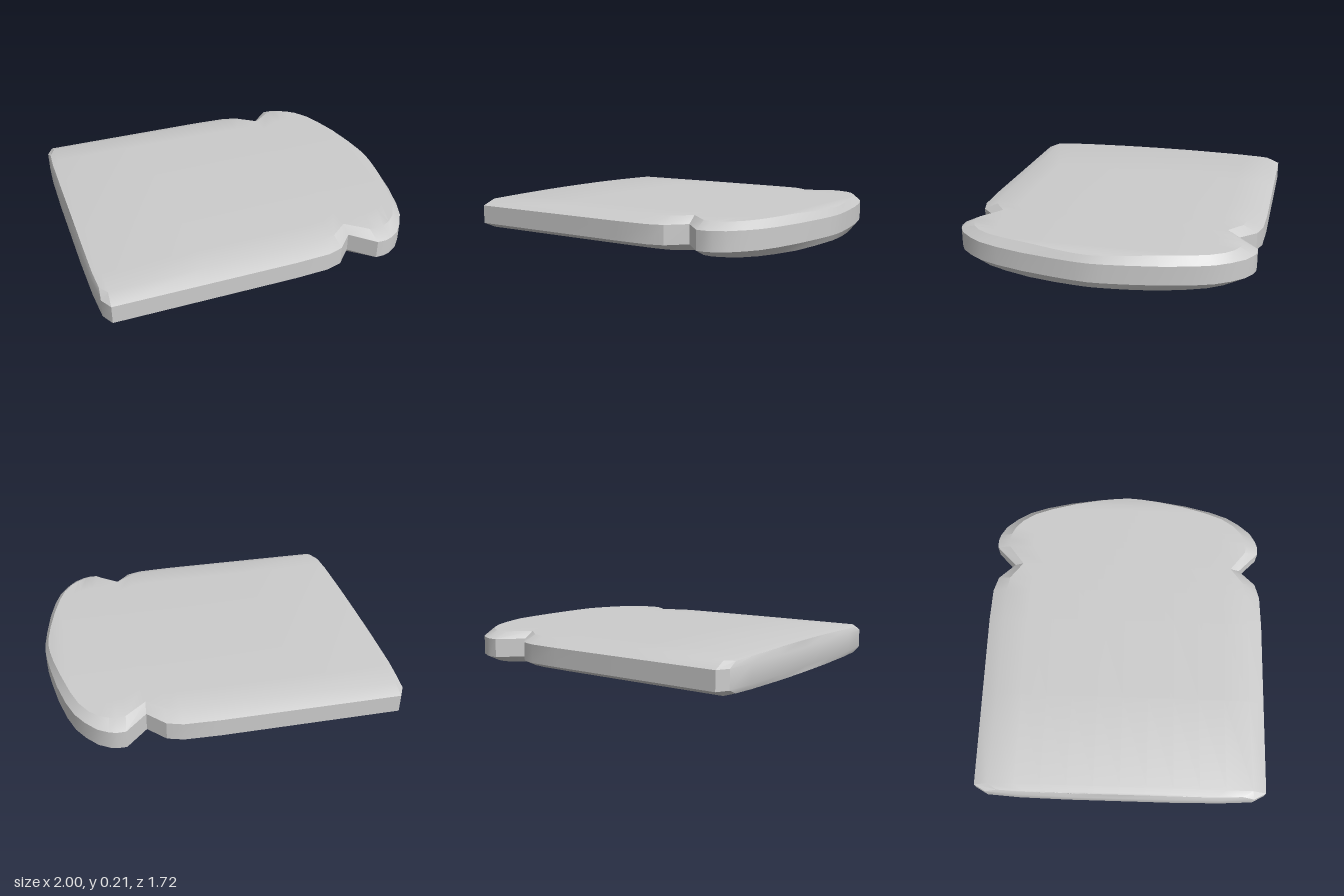
import * as THREE from 'three';
import { toCreasedNormals } from 'three/addons/utils/BufferGeometryUtils.js';

// Stations along the slice: outer x, outer half-width, face x, face half-width
const STATIONS = [
  [-1, 0, -0.985, 0], [-1, 0.3, -0.985, 0.3], [-0.995, 0.6, -0.983, 0.58],
  [-0.983, 0.79, -0.975, 0.72], [-0.945, 0.86, -0.94, 0.78], [-0.4, 0.86, -0.4, 0.768],
  [0.1, 0.86, 0.1, 0.766], [0.3, 0.852, 0.3, 0.76], [0.39, 0.825, 0.38, 0.745],
  [0.485, 0.725, 0.48, 0.668], [0.61, 0.848, 0.6, 0.763], [0.66, 0.848, 0.65, 0.77],
  [0.7, 0.836, 0.69, 0.76], [0.76, 0.8, 0.74, 0.735], [0.82, 0.73, 0.79, 0.69],
  [0.87, 0.65, 0.84, 0.61], [0.91, 0.54, 0.88, 0.5], [0.95, 0.38, 0.92, 0.35],
  [0.98, 0.2, 0.955, 0.19], [0.995, 0.08, 0.972, 0.08], [1, 0, 0.978, 0],
];
const MID = 0.104;
const STEPS = 10;

// Gently domed faces that drop a little at both ends
function faceHeight(x, z) {
  return 0.104 - 0.013 * (z / 0.78) ** 2 - 0.012 * THREE.MathUtils.smoothstep(Math.abs(x), 0.92, 0.985);
}

// Closed section across the slice: top face, side wall, bottom face, side wall
function section([xo, w, xi, wi]) {
  const ring = [];
  const face = (dir) => {
    for (let k = 0; k <= STEPS; k++) {
      const z = dir * wi * (2 * k / STEPS - 1);
      ring.push(new THREE.Vector3(xi, MID + dir * faceHeight(xi, z), z));
    }
  };
  for (const dir of [1, -1]) {
    face(dir);
    ring.push(new THREE.Vector3(xo, MID + dir * 0.054, dir * w));
    ring.push(new THREE.Vector3(xo, MID - dir * 0.054, dir * w));
  }
  return ring;
}

function loft(rings) {
  const positions = [];
  const tri = new THREE.Triangle();
  const add = (a, b, c) => {
    tri.set(a, b, c);
    if (tri.getArea() > 1e-7) for (const p of [a, b, c]) positions.push(p.x, p.y, p.z);
  };
  for (let i = 0; i < rings.length - 1; i++) {
    const r = rings[i], s = rings[i + 1], n = r.length;
    for (let j = 0; j < n; j++) {
      const k = (j + 1) % n;
      add(r[j], r[k], s[j]);
      add(r[k], s[k], s[j]);
    }
  }
  const geometry = new THREE.BufferGeometry();
  geometry.setAttribute('position', new THREE.Float32BufferAttribute(positions, 3));
  return toCreasedNormals(geometry, 0.45);
}

export function createModel() {
  const group = new THREE.Group();
  group.name = 'bread';
  const slice = new THREE.Mesh(
    loft(STATIONS.map(section)),
    new THREE.MeshStandardMaterial({ color: 0xcccccc })
  );
  slice.name = 'breadSlice';
  group.add(slice);
  return group;
}
